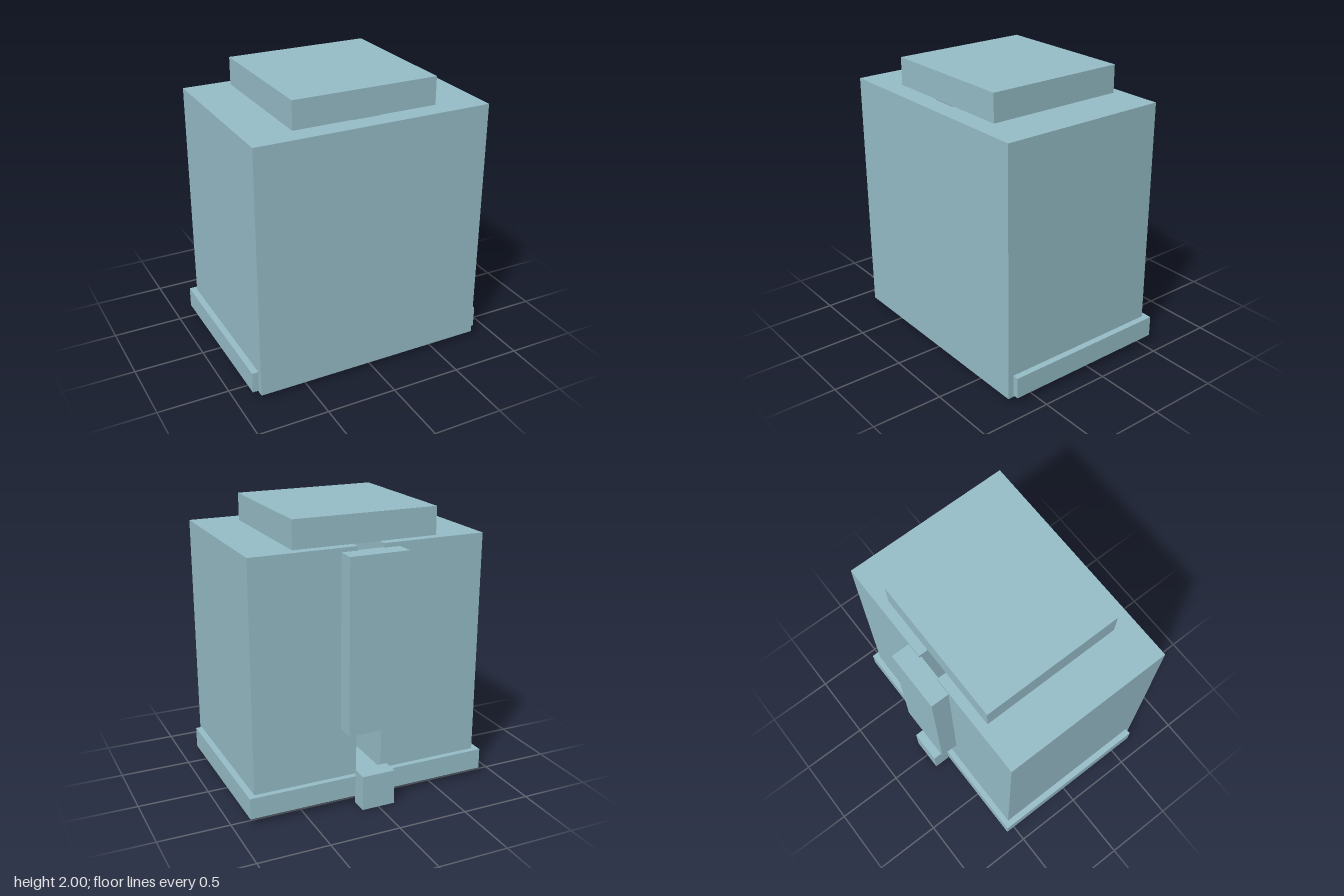
import * as THREE from 'three';

export function createModel() {
  const model = new THREE.Group();
  const paleBlue = new THREE.MeshStandardMaterial({ color: 0x97bec9 });
  paleBlue.name = 'paleBlue';

  const add = (name, geometry) => {
    const mesh = new THREE.Mesh(geometry, paleBlue);
    mesh.name = name;
    model.add(mesh);
    return mesh;
  };

  // Box given by its half width and its y and z limits
  const addBox = (name, halfX, y0, y1, z0, z1) => {
    const mesh = add(name, new THREE.BoxGeometry(halfX * 2, y1 - y0, z1 - z0));
    mesh.position.set(0, (y0 + y1) / 2, (z0 + z1) / 2);
  };

  // Main body: U-shaped plan with a deep slot open at the back
  const plan = [
    [-0.84, 0.69], [0.84, 0.69], [0.84, -0.53], [0.095, -0.53],
    [0.095, 0.553], [-0.095, 0.553], [-0.095, -0.53], [-0.84, -0.53],
  ];
  const shape = new THREE.Shape(plan.map(([x, z]) => new THREE.Vector2(x, -z)));
  const body = new THREE.ExtrudeGeometry(shape, { depth: 1.77, bevelEnabled: false });
  body.rotateX(-Math.PI / 2);
  body.translate(0, 0.035, 0);
  add('slottedBody', body);

  // Plinth slab running through the body, showing at the sides and back
  addBox('plinth', 0.885, 0.05, 0.2, -0.57, 0.65);

  // Raised roof block
  addBox('roofBlock', 0.517, 1.805, 2, -0.463, 0.545);

  // Tall panel over the slot and the small step below it
  addBox('backPanel', 0.21, 0.555, 1.775, -0.66, -0.515);
  addBox('backStep', 0.12, 0, 0.25, -0.69, -0.57);

  return model;
}
